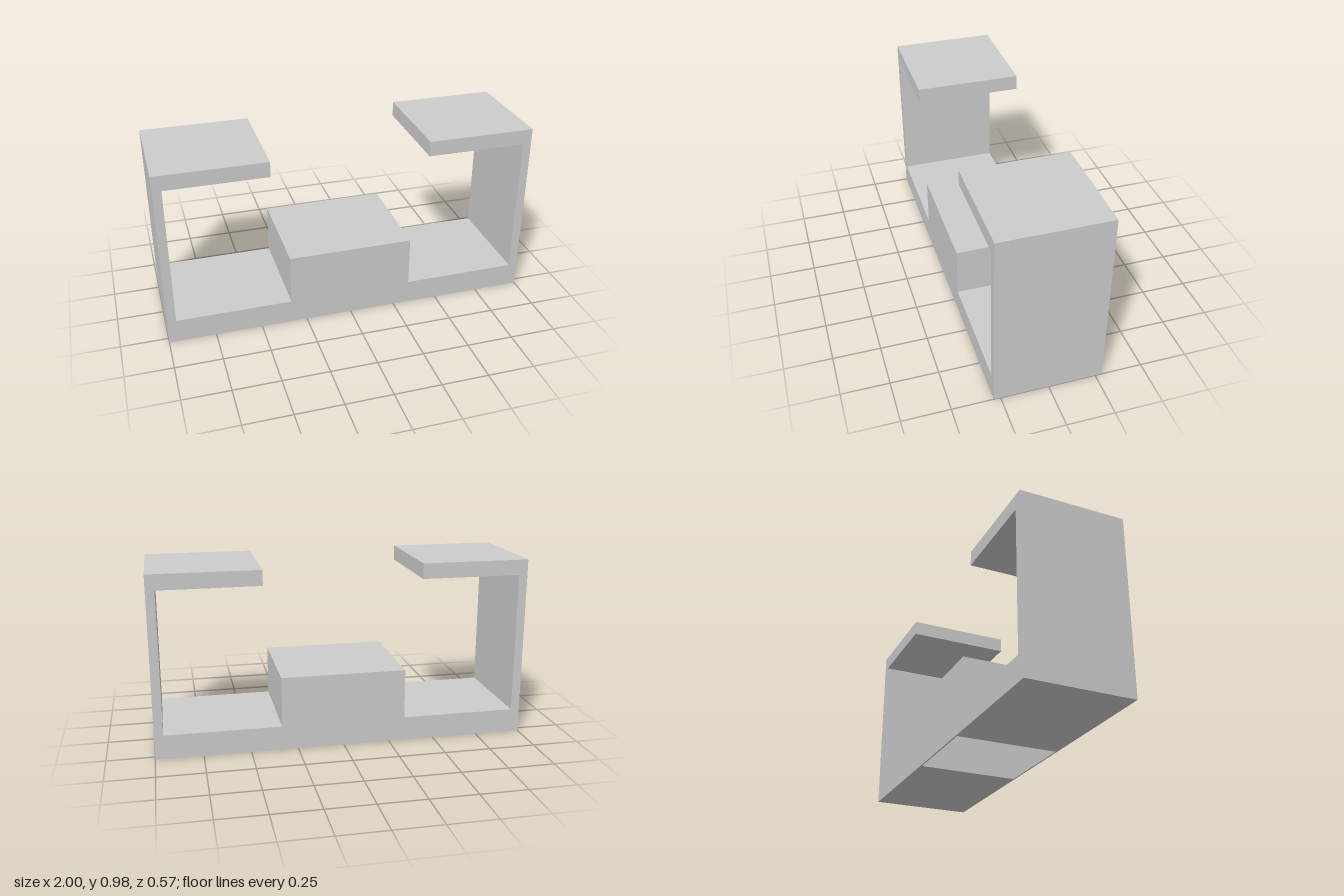
import * as THREE from 'three';

const DEPTH = 0.57;
const material = new THREE.MeshStandardMaterial({ color: 0xcccccc, flatShading: true });
const insideMaterial = new THREE.MeshStandardMaterial({ color: 0xcccccc, flatShading: true, side: THREE.BackSide });

// Drops the triangles lying at the given height, leaving the solid open there
function openAt(geometry, y) {
  const flat = geometry.index ? geometry.toNonIndexed() : geometry;
  const p = flat.attributes.position;
  const kept = [];
  for (let i = 0; i < p.count; i += 3) {
    if ([0, 1, 2].every(k => Math.abs(p.getY(i + k) - y) < 1e-5)) continue;
    for (let k = 0; k < 3; k++) kept.push(p.getX(i + k), p.getY(i + k), p.getZ(i + k));
  }
  const result = new THREE.BufferGeometry();
  result.setAttribute('position', new THREE.Float32BufferAttribute(kept, 3));
  result.computeVertexNormals();
  return result;
}

function rectangle(halfX, halfY, PathType) {
  return new PathType([[-halfX, -halfY], [halfX, -halfY], [halfX, halfY], [-halfX, halfY]]
    .map(([x, y]) => new THREE.Vector2(x, y)));
}

function add(group, name, geometry, mat = material) {
  const mesh = new THREE.Mesh(geometry, mat);
  mesh.name = name;
  group.add(mesh);
  return mesh;
}

export function createModel() {
  const model = new THREE.Group();
  model.name = 'bracket';

  // Body: base, end walls, inward lips and raised centre block in one mirrored profile
  const half = [[1, 0], [1, 0.975], [0.42, 0.975], [0.42, 0.893], [0.953, 0.893],
    [0.953, 0.13], [0.335, 0.13], [0.335, 0.4]];
  const mirrored = half.map(([x, y]) => [-x, y]).reverse();
  const profile = new THREE.Shape([...half, ...mirrored].map(([x, y]) => new THREE.Vector2(x, y)));
  const body = new THREE.ExtrudeGeometry(profile, { depth: DEPTH, bevelEnabled: false });
  body.translate(0, 0, -DEPTH / 2);
  add(model, 'body', openAt(body, 0));

  // Underside with the opening of the hollow centre block
  const cavity = { halfX: 0.25, halfZ: 0.277, height: 0.382 };
  const underside = rectangle(1, DEPTH / 2, THREE.Shape);
  underside.holes.push(rectangle(cavity.halfX, cavity.halfZ, THREE.Path));
  add(model, 'underside', new THREE.ShapeGeometry(underside).rotateX(Math.PI / 2));

  // Inner walls and ceiling of the hollow
  const hollow = new THREE.BoxGeometry(cavity.halfX * 2, cavity.height, cavity.halfZ * 2);
  hollow.translate(0, cavity.height / 2, 0);
  add(model, 'hollow', openAt(hollow, 0), insideMaterial);

  return model;
}
